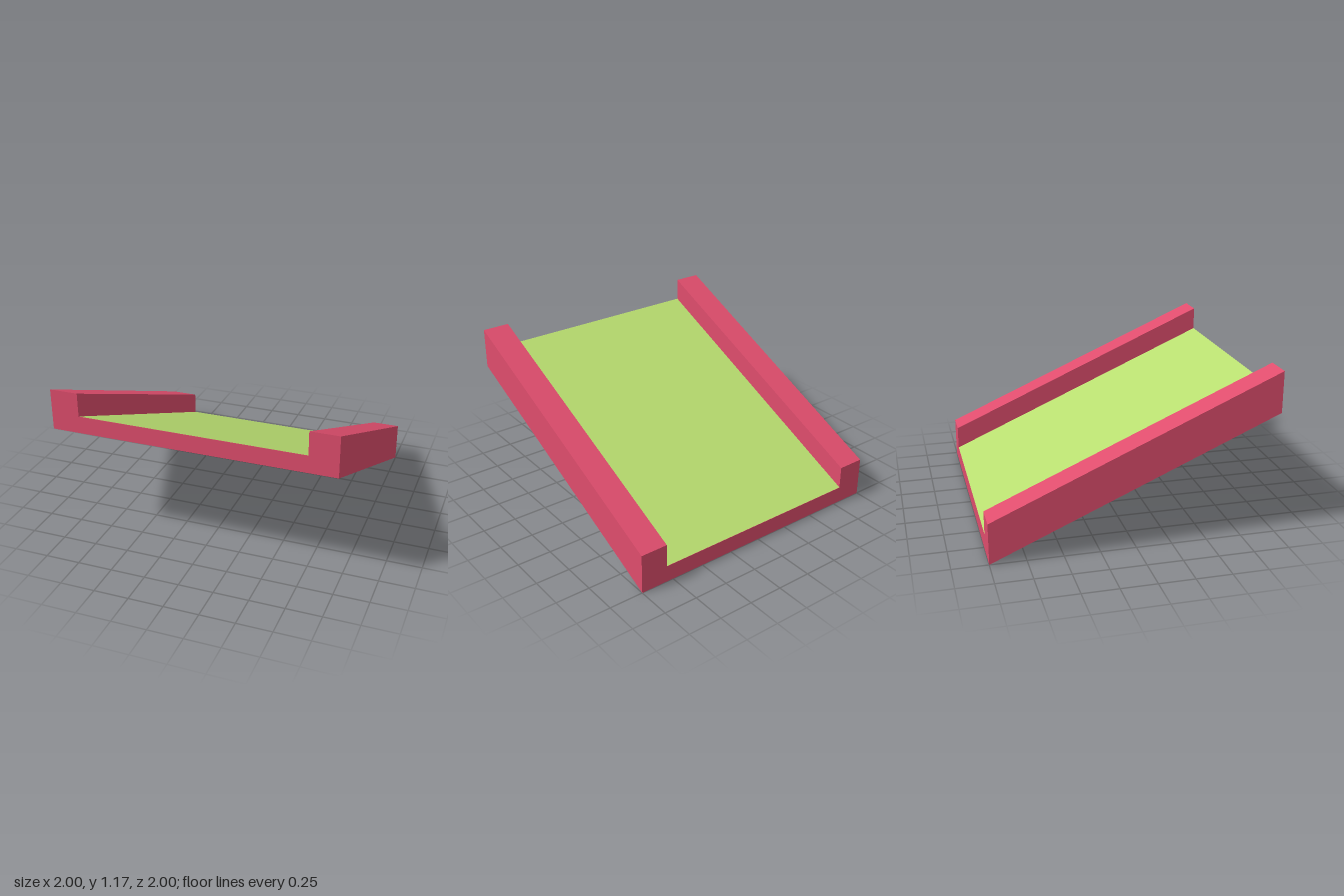
import * as THREE from 'three';

const RISE = 0.88;   // height gained from back to front
const RAIL = 0.293;  // rail height
const FLOOR = 0.125; // floor thickness
const INNER = 0.8;   // half width of the lane

// Slope a geometry: lift each vertex in proportion to its z
function slope(geometry) {
  const p = geometry.attributes.position;
  for (let i = 0; i < p.count; i++) {
    p.setY(i, p.getY(i) + (RISE * (p.getZ(i) + 1)) / 2);
  }
  geometry.computeVertexNormals();
  return geometry;
}

export function createModel() {
  const pink = new THREE.MeshStandardMaterial({ name: 'pink frame', color: 0xdf4d6d });
  const green = new THREE.MeshStandardMaterial({ name: 'green turf', color: 0xb9de70 });
  const group = new THREE.Group();
  group.name = 'slopedLane';

  // U-shaped channel: floor slab with a rail on each side
  const bed = FLOOR - 0.002;
  const profile = new THREE.Shape([
    [-1, 0], [1, 0], [1, RAIL], [INNER, RAIL],
    [INNER, bed], [-INNER, bed], [-INNER, RAIL], [-1, RAIL],
  ].map(([x, y]) => new THREE.Vector2(x, y)));
  const channel = new THREE.ExtrudeGeometry(profile, { depth: 2, bevelEnabled: false });
  channel.translate(0, 0, -1);
  const frame = new THREE.Mesh(slope(channel), pink);
  frame.name = 'frame';
  group.add(frame);

  // Turf laid on the floor between the rails
  const sheet = new THREE.PlaneGeometry(2 * INNER, 2);
  sheet.rotateX(-Math.PI / 2).translate(0, FLOOR, 0);
  const turf = new THREE.Mesh(slope(sheet), green);
  turf.name = 'turf';
  group.add(turf);

  return group;
}
